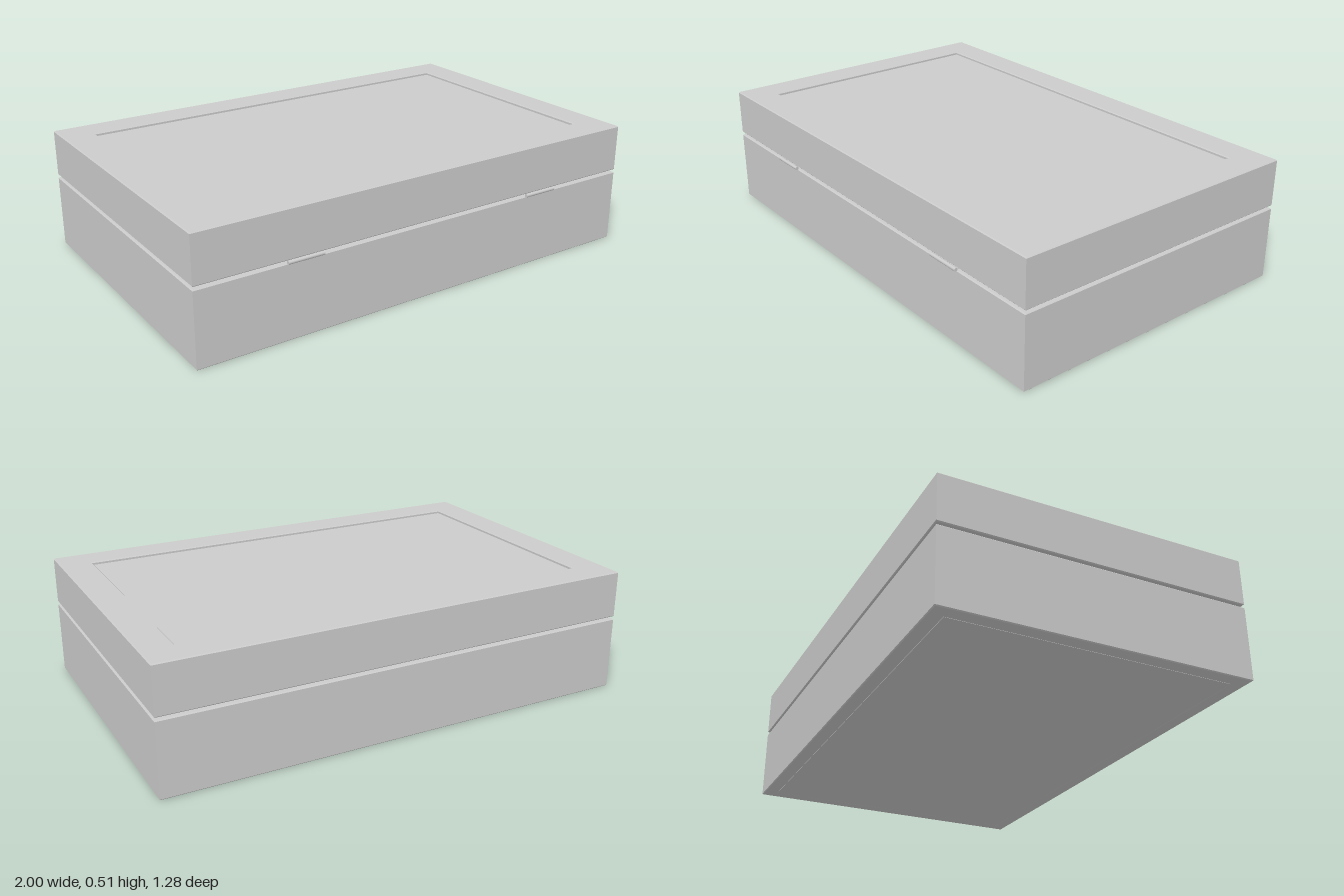
import * as THREE from 'three';

const material = new THREE.MeshStandardMaterial({ color: 0xcccccc });
const CENTER_Z = -0.006; // the box sits slightly back to make room for the hinges
const BEVEL = 0.004;

function rectangle(path, halfX, halfZ) {
  path.moveTo(-halfX, -halfZ);
  path.lineTo(halfX, -halfZ);
  path.lineTo(halfX, halfZ);
  path.lineTo(-halfX, halfZ);
  path.closePath();
  return path;
}

// Rectangular ring of walls with finely bevelled rims
function frame(name, y0, y1, holeX, holeZ) {
  const shape = rectangle(new THREE.Shape(), 1, 0.632);
  shape.holes.push(rectangle(new THREE.Path(), holeX, holeZ));
  const geometry = new THREE.ExtrudeGeometry(shape, {
    depth: y1 - y0 - 2 * BEVEL,
    bevelThickness: BEVEL,
    bevelSize: BEVEL,
    bevelOffset: -BEVEL,
    bevelSegments: 1,
  });
  geometry.rotateX(-Math.PI / 2);
  return place(name, geometry, 0, y0 + BEVEL, CENTER_Z);
}

function place(name, geometry, x, y, z) {
  const mesh = new THREE.Mesh(geometry, material);
  mesh.name = name;
  mesh.position.set(x, y, z);
  return mesh;
}

function panel(name, y0, y1, halfX, halfZ) {
  const geometry = new THREE.BoxGeometry(halfX * 2, y1 - y0, halfZ * 2);
  return place(name, geometry, 0, (y0 + y1) / 2, CENTER_Z);
}

export function createModel() {
  const model = new THREE.Group();
  model.name = 'hingedBox';

  // Open tray: four walls and a floor
  const base = new THREE.Group();
  base.name = 'base';
  base.add(frame('baseWalls', 0, 0.306, 0.94, 0.572));
  base.add(panel('baseFloor', 0, 0.05, 0.942, 0.574));

  // Lid: broad frame around a slightly sunken panel
  const lid = new THREE.Group();
  lid.name = 'lid';
  lid.add(frame('lidFrame', 0.316, 0.512, 0.87, 0.502));
  lid.add(panel('lidPanel', 0.45, 0.5, 0.872, 0.504));

  model.add(base, lid);

  // Pair of hinge barrels bridging the gap
  for (const side of [-1, 1]) {
    const barrel = new THREE.CylinderGeometry(0.0075, 0.0075, 0.15, 16);
    barrel.rotateZ(Math.PI / 2);
    model.add(place(side > 0 ? 'leftHinge' : 'rightHinge', barrel, side * 0.56, 0.311, 0.6305));
  }
  return model;
}
